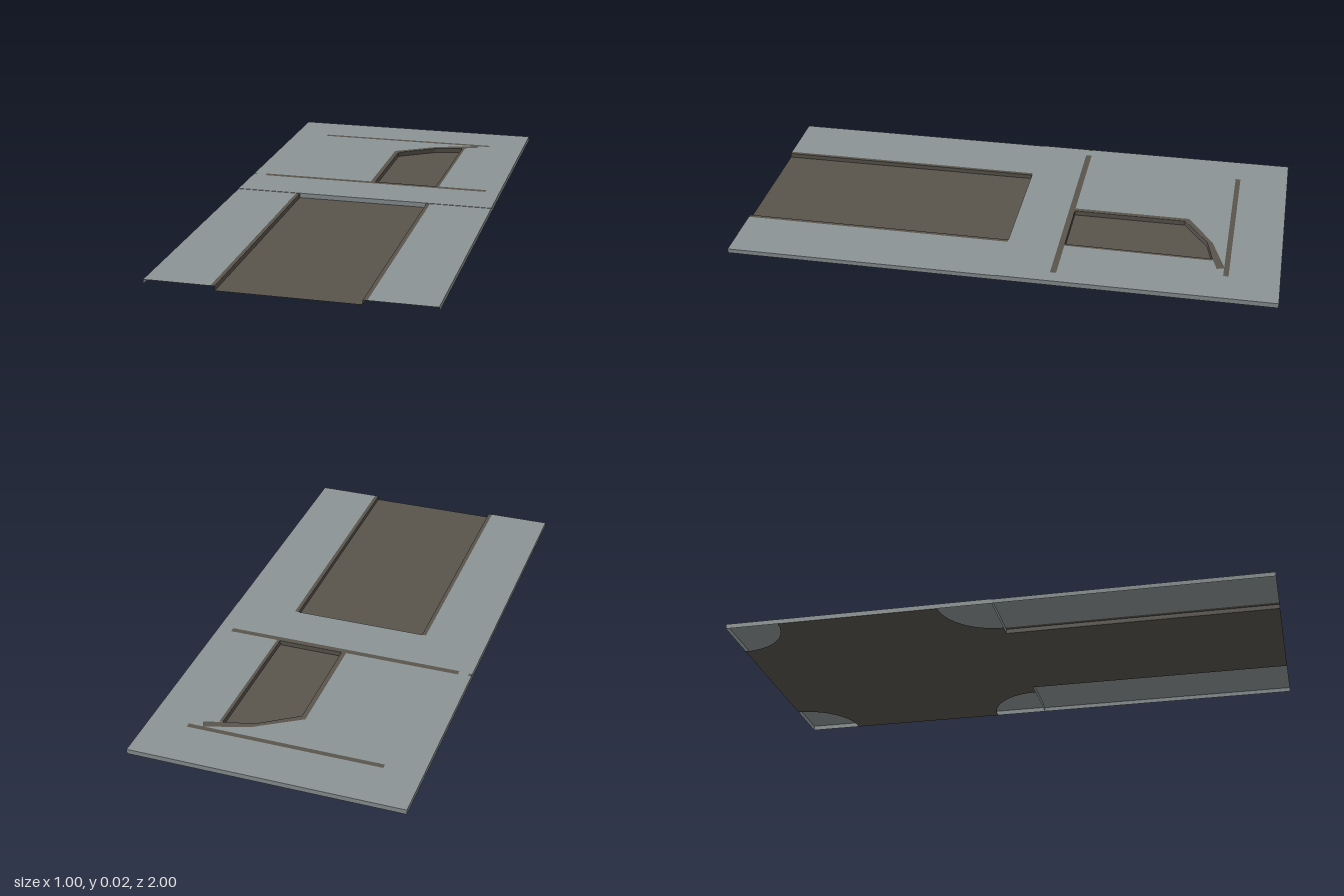
import * as THREE from 'three';

const BACK_TOP = 0.018;   // pavement height of the rear half
const FRONT_TOP = 0.0165; // pavement height of the front half

export function createModel() {
  const group = new THREE.Group();
  const paving = new THREE.MeshStandardMaterial({ color: 0x8b9395, side: THREE.DoubleSide });
  paving.name = 'pavingGrey';
  const asphalt = new THREE.MeshStandardMaterial({ color: 0x59544c, side: THREE.DoubleSide });
  asphalt.name = 'asphaltBrown';

  const add = (name, geometry, material) => {
    const mesh = new THREE.Mesh(geometry, material);
    mesh.name = name;
    group.add(mesh);
  };
  const v2 = (pts) => pts.map(([x, z]) => new THREE.Vector2(x, -z));
  const rect = (x0, x1, z0, z1) => [[x0, z0], [x1, z0], [x1, z1], [x0, z1]];

  // Horizontal sheet outlined by [x, z] points, facing up
  const sheet = (name, pts, y, material, hole) => {
    const shape = new THREE.Shape(v2(pts));
    if (hole) shape.holes.push(new THREE.Path(v2(hole)));
    add(name, new THREE.ShapeGeometry(shape).rotateX(-Math.PI / 2).translate(0, y, 0), material);
  };

  // Vertical wall following [x, z] points
  const wall = (name, pts, top, material) => {
    const pos = [];
    for (let i = 0; i < pts.length - 1; i++) {
      const [ax, az] = pts[i], [bx, bz] = pts[i + 1];
      pos.push(ax, 0, az, bx, 0, bz, bx, top, bz, ax, 0, az, bx, top, bz, ax, top, az);
    }
    const geometry = new THREE.BufferGeometry();
    geometry.setAttribute('position', new THREE.Float32BufferAttribute(pos, 3));
    geometry.computeVertexNormals();
    add(name, geometry, material);
  };

  // Base floor: road in front, square behind, a quarter circle cut at each corner
  const floor = [[0.25, 1], [0.25, 0]];
  const corner = (cx, cz, start) => {
    for (let i = 0; i <= 10; i++) {
      const a = start - (i / 10) * Math.PI / 2;
      floor.push([cx + 0.2 * Math.cos(a), cz + 0.2 * Math.sin(a)]);
    }
  };
  corner(0.5, 0, Math.PI * 1.5 - Math.PI / 2 + Math.PI * 2);
  floor.splice(2, 11); // rebuilt below in walking order
  for (let i = 0; i <= 10; i++) {
    const a = Math.PI + (i / 10) * Math.PI / 2;
    floor.push([0.5 + 0.2 * Math.cos(a), 0.2 * Math.sin(a)]);
  }
  for (let i = 0; i <= 10; i++) {
    const a = Math.PI / 2 + (i / 10) * Math.PI / 2;
    floor.push([0.5 + 0.2 * Math.cos(a), -1 + 0.2 * Math.sin(a)]);
  }
  const mirrored = floor.map(([x, z]) => [-x, z]).reverse();
  sheet('floor', [...floor, ...mirrored], 0, asphalt);

  // Rear pavement with the sunken pit
  const pit = [[0, -0.21], [0, -0.63], [0.14, -0.725], [0.25, -0.752], [0.245, -0.21]];
  sheet('rearPavement', rect(-0.5, 0.5, -1, 0), BACK_TOP, paving, pit);
  wall('rearSkirt', [[-0.5, 0], [-0.5, -1], [0.5, -1], [0.5, 0], [-0.5, 0]], BACK_TOP, paving);
  wall('pitWall', [...pit, pit[0]], BACK_TOP, asphalt);

  // Kerb stones around the pit
  const kerbY = BACK_TOP + 0.0005;
  sheet('pitKerb', [[0, -0.21], [-0.018, -0.21], [-0.018, -0.645], [0.14, -0.745], [0.305, -0.8],
    [0.315, -0.772], [0.25, -0.752], [0.14, -0.725], [0, -0.63]], kerbY, asphalt);
  sheet('pitSideKerb', [[0.245, -0.21], [0.25, -0.752], [0.262, -0.752], [0.257, -0.21]], kerbY, asphalt);

  // Narrow strips crossing the rear pavement
  sheet('middleStrip', rect(-0.45, 0.445, -0.21, -0.188), kerbY, asphalt);
  sheet('middleStripEnd', rect(-0.5, -0.488, -0.207, -0.192), kerbY, asphalt);
  sheet('rearStrip', rect(-0.36, 0.358, -0.817, -0.798), kerbY, asphalt);

  // Front pavements and road kerbs on both sides
  for (const s of [-1, 1]) {
    const side = s > 0 ? 'left' : 'right';
    sheet(side + 'Pavement', rect(s * 0.265, s * 0.5, 0, 1), FRONT_TOP, paving);
    wall(side + 'Skirt', [[s * 0.5, 0], [s * 0.5, 1]], FRONT_TOP, paving);
    sheet(side + 'KerbTop', rect(s * 0.25, s * 0.265, 0, 1), FRONT_TOP, asphalt);
    wall(side + 'KerbFace', [[s * 0.25, 0], [s * 0.25, 1]], FRONT_TOP, asphalt);
  }
  return group;
}
